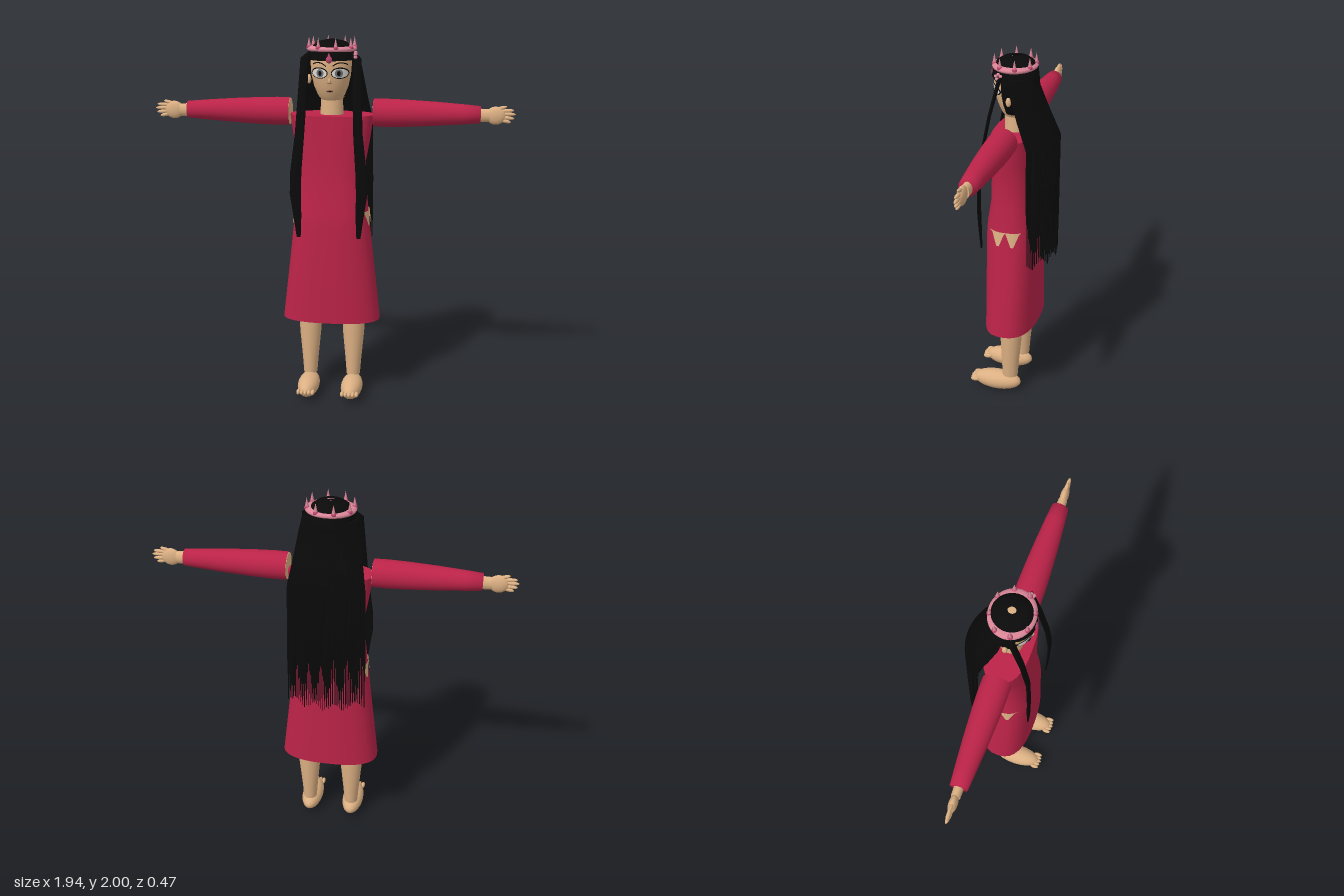
import * as THREE from 'three';

const mat = (name, color, side = THREE.FrontSide) => {
  const m = new THREE.MeshStandardMaterial({ color, side });
  m.name = name;
  return m;
};

// Lofts horizontal superellipse sections [x, y, z, rx, rz] with end caps.
function loft(sections, sides = 24, power = 1) {
  const rows = [...sections].sort((a, b) => a[1] - b[1]);
  const pos = [], idx = [];
  const bend = (v) => Math.sign(v) * Math.abs(v) ** power;
  const ring = ([x, y, z, rx, rz]) => {
    for (let i = 0; i < sides; i++) {
      const a = (i / sides) * Math.PI * 2;
      pos.push(x + rx * bend(Math.cos(a)), y, z + rz * bend(Math.sin(a)));
    }
  };
  rows.forEach(ring);
  for (let r = 0; r < rows.length - 1; r++) {
    for (let i = 0; i < sides; i++) {
      const j = (i + 1) % sides, b = r * sides, t = b + sides;
      idx.push(b + i, t + i, b + j, t + i, t + j, b + j);
    }
  }
  [rows[0], rows[rows.length - 1]].forEach((s, top) => {
    const start = pos.length / 3;
    ring(s);
    pos.push(s[0], s[1], s[2]);
    for (let i = 0; i < sides; i++) {
      const a = start + i, b = start + (i + 1) % sides;
      idx.push(start + sides, top ? b : a, top ? a : b);
    }
  });
  const g = new THREE.BufferGeometry();
  g.setAttribute('position', new THREE.Float32BufferAttribute(pos, 3));
  g.setIndex(idx);
  g.computeVertexNormals();
  return g;
}

// Moves every vertex of a geometry by a rule.
function warp(g, rule) {
  const p = g.attributes.position, v = new THREE.Vector3();
  for (let i = 0; i < p.count; i++) {
    rule(v.fromBufferAttribute(p, i));
    p.setXYZ(i, v.x, v.y, v.z);
  }
  g.computeVertexNormals();
  return g;
}

// Head radius by height, shared by the head, hair and face.
const headProfile = [[1.645, 0.02], [1.66, 0.05], [1.69, 0.074], [1.74, 0.095], [1.8, 0.109],
  [1.86, 0.114], [1.9, 0.11], [1.935, 0.092], [1.955, 0.065], [1.965, 0.02]];
function headRadius(y) {
  for (let i = 1; i < headProfile.length; i++) {
    const [y0, r0] = headProfile[i - 1], [y1, r1] = headProfile[i];
    if (y <= y1) return r0 + (r1 - r0) * (y - y0) / (y1 - y0);
  }
  return 0.02;
}

export function createModel() {
  const model = new THREE.Group();
  const skin = mat('skin', 0xdcb083);
  const red = mat('crimson cloth', 0xbb2348);
  const black = mat('black hair', 0x0a0a0a, THREE.DoubleSide);
  const pink = mat('pink crown', 0xd98597);
  const gemRed = mat('rose gem', 0xb8446a);
  const white = mat('eye white', 0xe6e2dc);
  const grey = mat('grey iris', 0x77787a);
  const lip = mat('lip', 0xb98268);
  const patchSkin = mat('hip skin', 0xdcb083, THREE.DoubleSide);

  const add = (name, g, m, x = 0, y = 0, z = 0, parent = model) => {
    const mesh = new THREE.Mesh(g, m);
    mesh.name = name;
    mesh.position.set(x, y, z);
    parent.add(mesh);
    return mesh;
  };
  const ball = (name, m, x, y, z, rx, ry, rz, parent = model) => {
    const b = add(name, new THREE.SphereGeometry(1, 20, 14), m, x, y, z, parent);
    b.scale.set(rx, ry, rz);
    return b;
  };

  // Dress
  add('dress', loft([
    [0, 0.45, 0.003, 0.27, 0.143], [0, 0.75, 0.003, 0.235, 0.143], [0, 0.99, 0.003, 0.208, 0.143],
    [0, 1.07, 0.002, 0.2, 0.139], [0, 1.2, 0, 0.187, 0.121], [0, 1.34, -0.002, 0.185, 0.118],
    [0, 1.45, -0.003, 0.205, 0.117], [0, 1.59, -0.004, 0.225, 0.115]], 32, 0.8), red);

  // Head, neck and ears
  add('neck', loft([[0, 1.57, 0, 0.064, 0.06], [0, 1.72, 0, 0.056, 0.055]]), skin);
  add('head', loft(headProfile.map(([y, r]) => [0, y, 0, r, r]), 36), skin);

  // Face plates are wrapped onto the head surface
  const face = (name, g, m, x, y, lift) => add(name, warp(g, (v) => {
    v.x += x;
    v.y += y;
    const r = headRadius(v.y);
    v.z = Math.sqrt(Math.max(r * r - v.x * v.x, 0)) + lift;
  }), m);
  const disc = (rx, ry) => new THREE.RingGeometry(0.001, 1, 28, 5).scale(rx, ry, 1);
  const stroke = (w, h, arch, tilt = 0) => warp(new THREE.PlaneGeometry(w, h, 12, 1), (v) => {
    v.y += arch * (1 - (2 * v.x / w) ** 2) + tilt * v.x;
  });
  for (const s of [-1, 1]) {
    face('eyeOutline', disc(0.045, 0.03), black, s * 0.054, 1.817, 0.002);
    face('eyeWhite', disc(0.041, 0.025), white, s * 0.054, 1.816, 0.004);
    face('iris', disc(0.02, 0.022), grey, s * 0.05, 1.816, 0.006);
    face('pupil', disc(0.009, 0.013), black, s * 0.05, 1.816, 0.008);
    face('eyebrow', stroke(0.075, 0.006, 0.014, s * 0.08), black, s * 0.055, 1.857, 0.003);
    face('nostril', disc(0.003, 0.002), black, s * 0.007, 1.762, 0.003);
    ball('ear', skin, s * 0.122, 1.775, 0.005, 0.012, 0.025, 0.014);
  }
  face('mouth', disc(0.018, 0.008), lip, 0, 1.72, 0.002);
  face('mouthLine', stroke(0.036, 0.003, -0.002), black, 0, 1.722, 0.004);
  ball('nose', skin, 0, 1.775, 0.104, 0.008, 0.016, 0.01);

  // Hair cap: a full dome on top and a shell around the back of the head
  const shell = (from, start, length) => new THREE.LatheGeometry(
    headProfile.filter(([y]) => y >= from).map(([y, r]) => new THREE.Vector2(r * 1.07, y + 0.006)),
    32, start, length);
  add('hairDome', shell(1.87, 0, Math.PI * 2), black);
  add('hairFringe', shell(1.86, 0, Math.PI * 2).translate(0, 0.015, 0.002), black);
  add('hairBackShell', shell(1.65, Math.PI * 0.37, Math.PI * 1.26), black);

  // Long back hair in two rows of tapering strands
  const strands = 38;
  for (let row = 0; row < 2; row++) {
    for (let i = 0; i < strands; i++) {
      const u = ((i + row * 0.5) / (strands - 0.5)) * 2 - 1;
      const c = 1 - u * u, inset = row * 0.025;
      const end = 0.86 + 0.05 * Math.abs(Math.sin(i * 12.9 + row * 4));
      const split = 1.13 + 0.1 * Math.sin(i * 7.3 + row);
      const zLow = -0.145 - 0.08 * c + inset;
      add('backHairStrand', loft([
        [u * 0.14, 1.895, -0.03 - 0.08 * c + inset, 0.007, 0.007],
        [u * 0.155, 1.82, -0.045 - 0.07 * c + inset, 0.0075, 0.009],
        [u * 0.175, 1.69, -0.09 - 0.075 * c + inset, 0.008, 0.01],
        [u * 0.2, 1.55, zLow, 0.008, 0.01],
        [u * 0.208, split, zLow, 0.0065, 0.007],
        [u * 0.21, split - 0.1, zLow - 0.002, 0.003, 0.003],
        [u * 0.212, end, zLow - 0.003, 0.0018, 0.0018]], 6), black);
    }
  }

  // Front locks
  for (const s of [-1, 1]) {
    add('frontLock', loft([
      [s * 0.105, 1.925, 0.035, 0.015, 0.01], [s * 0.137, 1.89, 0.05, 0.024, 0.01],
      [s * 0.145, 1.7, 0.1, 0.024, 0.008], [s * 0.155, 1.5, 0.138, 0.025, 0.007],
      [s * 0.174, 1.3, 0.152, 0.03, 0.006], [s * 0.178, 1.18, 0.153, 0.03, 0.006],
      [s * 0.168, 1.06, 0.152, 0.022, 0.006], [s * 0.162, 0.94, 0.148, 0.011, 0.004]], 10), black);
  }

  // Crown: flattened ring, spikes and gems
  const crown = new THREE.Group();
  crown.name = 'crown';
  model.add(crown);
  add('crownRing', new THREE.TorusGeometry(0.104, 0.03, 12, 40).rotateX(Math.PI / 2), pink, 0, 1.937, 0.003, crown)
    .scale.set(1, 0.5, 0.88);
  for (let i = 0; i < 8; i++) {
    const a = ((i + 0.35) / 8) * Math.PI * 2;
    const x = Math.sin(a) * 0.122, z = Math.cos(a) * 0.106 + 0.003;
    add('crownSpike', new THREE.ConeGeometry(0.013, 0.062, 10), pink, x, 1.969, z, crown);
    ball('crownBead', gemRed, x, 1.945, z, 0.014, 0.012, 0.014, crown);
  }
  ball('foreheadGem', gemRed, 0, 1.888, 0.122, 0.017, 0.018, 0.01, crown);
  add('gemPoint', new THREE.ConeGeometry(0.013, 0.03, 10), gemRed, 0, 1.91, 0.12, crown);
  for (let i = 0; i < 5; i++) {
    const a = (i / 5) * Math.PI * 2;
    ball('flowerPetal', pink, 0.132, 1.908 + Math.cos(a) * 0.013, 0.055 + Math.sin(a) * 0.013, 0.01, 0.009, 0.009, crown);
  }

  // Limbs, mirrored left and right
  for (const s of [-1, 1]) {
    // Sleeve with the upper arm showing at its open inner end
    const arm = new THREE.Group();
    arm.name = s > 0 ? 'leftArm' : 'rightArm';
    arm.position.y = 1.6;
    if (s < 0) arm.rotation.y = Math.PI;
    model.add(arm);
    const sleeve = [[0.79, 0.001], [0.79, 0.045], [0.7, 0.053], [0.55, 0.064], [0.4, 0.072], [0.3, 0.075], [0.225, 0.074]];
    const tube = new THREE.LatheGeometry(sleeve.reverse().map(([x, r]) => new THREE.Vector2(r, x)), 28);
    add('sleeve', tube.rotateZ(-Math.PI / 2), red, 0, 0, 0, arm);
    add('upperArm', new THREE.CylinderGeometry(0.066, 0.071, 0.1, 28).rotateZ(-Math.PI / 2), skin, 0.274, 0, 0, arm);
    add('wrist', new THREE.CylinderGeometry(0.034, 0.036, 0.07, 20).rotateZ(-Math.PI / 2), skin, 0.8, -0.004, 0, arm)
      .scale.z = 0.7;
    ball('palm', skin, 0.868, -0.004, 0, 0.052, 0.048, 0.022, arm);
    // Fingers fan out from the palm, thumb uppermost
    [[0.86, 0.025, 0.925, 0.045], [0.89, 0.02, 0.962, 0.025], [0.89, 0.006, 0.972, 0.004],
      [0.89, -0.012, 0.965, -0.018], [0.885, -0.025, 0.948, -0.038]].forEach(([x0, y0, x1, y1]) => {
      const f = ball('finger', skin, (x0 + x1) / 2, (y0 + y1) / 2, 0, Math.hypot(x1 - x0, y1 - y0) / 2, 0.01, 0.01, arm);
      f.rotation.z = Math.atan2(y1 - y0, x1 - x0);
    });

    // Leg, foot and toes
    add('leg', loft([[s * 0.122, 0.11, 0, 0.038, 0.044], [s * 0.122, 0.2, -0.002, 0.045, 0.049],
      [s * 0.122, 0.36, -0.006, 0.06, 0.06], [s * 0.122, 0.5, -0.006, 0.064, 0.063]]), skin);
    ball('foot', skin, s * 0.122, 0.062, 0.077, 0.06, 0.057, 0.14);
    for (let i = -2; i <= 2; i++) {
      ball('toe', skin, s * 0.122 + i * 0.02, 0.063, 0.208 - Math.abs(i) * 0.003, 0.011, 0.014, 0.025);
    }

    // Hip opening: two-toothed skin patch following the dress side
    const tooth = (z, c) => Math.max(0, 1 - Math.abs(z - c) / 0.036);
    add('hipPatch', warp(new THREE.PlaneGeometry(0.17, 1, 34, 2), (v) => {
      const z = v.x + 0.005;
      const depth = 0.006 + 0.095 * Math.min(0.8, Math.max(tooth(z, 0.042), tooth(z, -0.038)));
      const y = 1.07 - (0.5 - v.y) * depth;
      const curve = (1 - (Math.abs(z) / 0.139) ** 2.5) ** 0.4;
      v.set(s * ((0.2 + (1.07 - y) * 0.1) * curve + 0.006), y, z);
    }), patchSkin);
  }
  return model;
}
